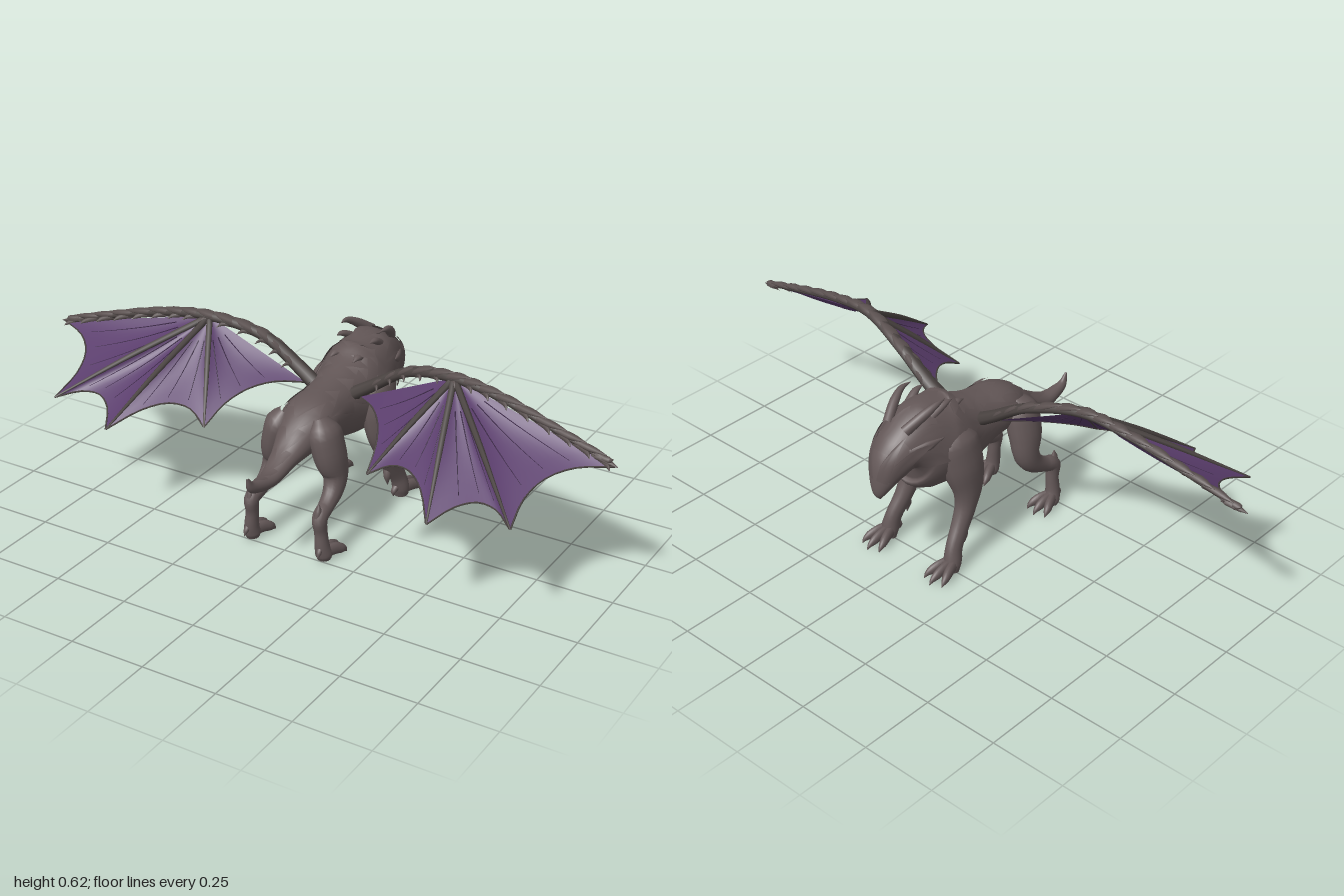
import * as THREE from 'three';

const V = (x, y, z) => new THREE.Vector3(x, y, z);
const mat = (name, color, side = THREE.FrontSide) => {
  const m = new THREE.MeshStandardMaterial({ color, side });
  m.name = name;
  return m;
};

// A smooth tapering limb through stations [x, y, z, halfWidth, halfHeight]
function limb(stations, ref) {
  const path = new THREE.CatmullRomCurve3(stations.map(p => V(p[0], p[1], p[2])));
  const size = new THREE.CatmullRomCurve3(stations.map(p => V(p[3], p[4] ?? p[3], 0)));
  return (t, angle, scale = 1) => {
    const T = path.getTangent(t);
    const side = ref.clone().addScaledVector(T, -ref.dot(T)).normalize();
    const up = T.clone().cross(side);
    const r = size.getPoint(t);
    return path.getPoint(t)
      .addScaledVector(side, Math.max(r.x, 0.001) * scale * Math.cos(angle))
      .addScaledVector(up, Math.max(r.y, 0.001) * scale * Math.sin(angle));
  };
}

// Grid surface from a function f(u, v); wrap closes it around v
function surface(f, nu, nv, wrap = false) {
  const pos = [], idx = [], cols = wrap ? nv : nv + 1;
  for (let i = 0; i <= nu; i++)
    for (let j = 0; j < cols; j++) pos.push(...f(i / nu, j / nv).toArray());
  for (let i = 0; i < nu; i++)
    for (let j = 0; j < nv; j++) {
      const k = (j + 1) % cols;
      const a = i * cols + j, b = i * cols + k, c = a + cols, d = b + cols;
      idx.push(a, b, c, b, d, c);
    }
  const g = new THREE.BufferGeometry();
  g.setAttribute('position', new THREE.Float32BufferAttribute(pos, 3));
  g.setIndex(idx);
  g.computeVertexNormals();
  return g;
}

export function createModel() {
  const model = new THREE.Group();
  model.name = 'wingedBeast';
  const hide = mat('hide', 0x655959);
  const plateHide = mat('plateHide', 0x625656, THREE.DoubleSide);
  const bone = mat('wingBone', 0x4b4442);
  const scaleMat = mat('wingScale', 0x5b5150);
  const skin = mat('wingMembrane', 0x5a3d6c, THREE.DoubleSide);
  const veinMat = mat('membraneVein', 0x3d2a49);
  const across = V(-1, 0, 0), fore = V(0, 0, 1);

  const add = (name, geometry, material, parent = model) => {
    const m = new THREE.Mesh(geometry, material);
    m.name = name;
    parent.add(m);
    return m;
  };
  const loft = (name, stations, material, parent, ref = across, n = 12, sides = 10) => {
    const f = limb(stations, ref);
    return add(name, surface((u, v) => f(u, v * Math.PI * 2), n, sides, true), material, parent);
  };

  // Body from tail tip to beak tip
  const spine = [
    [0, .35, .45, .003, .003], [0, .313, .43, .014, .017], [0, .298, .385, .022, .022],
    [0, .296, .33, .032, .026], [0, .325, .25, .045, .034], [0, .36, .17, .07, .06],
    [0, .39, .1, .092, .075], [0, .39, .02, .088, .09], [0, .385, -.06, .095, .115],
    [0, .39, -.14, .113, .137], [0, .41, -.21, .115, .152], [0, .44, -.28, .098, .126],
    [0, .437, -.34, .078, .078], [0, .4, -.385, .06, .06], [0, .36, -.413, .042, .034],
    [0, .325, -.425, .022, .018], [0, .303, -.422, .004, .003],
  ];
  const body = limb(spine, across);
  add('body', surface((u, v) => body(u, v * Math.PI * 2), 80, 28, true), hide);

  // Pointed armour plate that follows the body and lifts toward its rear tip
  const plate = (name, t, length, angle, spread, lift) =>
    add(name, surface((v, u) => {
      const a = u * 2 - 1;
      return body(Math.max(t - v * length * (1 - .65 * Math.abs(a)), .01),
        angle + a * spread * (1 - .25 * v), 1.005 + lift * v * (1 - .6 * a * a));
    }, 6, 10), plateHide);
  for (let i = 0; i < 13; i++) plate('backPlate', .15 + i * .053, .085, Math.PI / 2, .75, i < 4 ? .2 : .09);
  for (const s of [1, -1]) {
    for (let i = 0; i < 6; i++)
      plate('flankPlate', .4 + i * .07, .1, Math.PI / 2 + s * 1.05, .5, .05);
    plate('cheekPlate', .86, .16, Math.PI / 2 + s * 1.3, .55, .13);
    plate('browPlate', .87, .13, Math.PI / 2 + s * .6, .45, .12);
    plate('neckPlate', .77, .13, Math.PI / 2 + s * 1.7, .5, .08);
  }

  for (const s of [1, -1]) {
    const word = s > 0 ? 'left' : 'right';
    const M = list => list.map(([x, ...rest]) => [x * s, ...rest]);

    // Horns and neck spines
    const horns = new THREE.Group();
    horns.name = word + 'Horns';
    model.add(horns);
    loft('horn', M([[.035, .52, -.345, .016, .02], [.06, .562, -.29, .015, .015],
      [.072, .584, -.245, .009, .009], [.07, .588, -.208, .001, .001]]), hide, horns);
    loft('neckSpine', M([[.045, .53, -.25, .018, .015], [.058, .558, -.2, .012, .01],
      [.06, .564, -.165, .001, .001]]), hide, horns);
    loft('shoulderSpine', M([[.03, .5, -.17, .022, .018], [.04, .525, -.125, .014, .01],
      [.042, .521, -.093, .001, .001]]), hide, horns);
    loft('cheekSpine', M([[.055, .45, -.36, .012, .025], [.088, .47, -.3, .01, .018],
      [.106, .485, -.25, .001, .001]]), hide, horns);

    // Front leg, leaning forward
    const front = new THREE.Group();
    front.name = word + 'FrontLeg';
    model.add(front);
    loft('shoulderAndArm', M([[.07, .48, -.165, .02, .03], [.083, .42, -.17, .055, .078],
      [.1, .34, -.16, .052, .075], [.112, .265, -.155, .04, .058], [.118, .2, -.17, .032, .037],
      [.122, .14, -.2, .027, .032], [.13, .08, -.237, .024, .031], [.135, .035, -.25, .028, .03],
      [.135, .006, -.255, .024, .024]]), hide, front, across, 32, 16);
    loft('elbowSpike', M([[.118, .13, -.195, .016, .02], [.122, .1, -.182, .012, .014],
      [.124, .068, -.182, .001, .001]]), hide, front);
    loft('dewClaw', M([[.135, .05, -.235, .014, .014], [.13, .03, -.212, .009, .01],
      [.13, .012, -.212, .001, .001]]), hide, front);

    // Hind leg with a raised hock
    const hind = new THREE.Group();
    hind.name = word + 'HindLeg';
    model.add(hind);
    loft('thighAndShank', M([[.06, .43, .13, .02, .03], [.078, .38, .135, .05, .064],
      [.097, .31, .133, .047, .062], [.11, .245, .125, .038, .047], [.116, .2, .15, .031, .036],
      [.12, .168, .2, .025, .026], [.124, .15, .24, .024, .028], [.126, .1, .238, .02, .023],
      [.13, .05, .237, .023, .026], [.132, .022, .23, .027, .028], [.132, .005, .228, .022, .022]]),
      hide, hind, across, 36, 16);
    loft('hockSpike', M([[.122, .14, .25, .014, .02], [.124, .175, .248, .01, .013],
      [.125, .2, .246, .001, .001]]), hide, hind);
    loft('dewClaw', M([[.132, .055, .245, .012, .013], [.134, .038, .263, .008, .009],
      [.135, .022, .272, .001, .001]]), hide, hind);

    // Three clawed toes on each foot
    for (const [leg, x, z, reach] of [[front, .135, -.25, .105], [hind, .132, .225, .085]])
      for (const k of [-1, 0, 1]) {
        const far = reach * (1 - .15 * Math.abs(k)), dx = k * .016;
        loft('toe', M([[x + dx * .5, .03, z, .015, .024], [x + dx * 1.3, .03, z - far * .4, .014, .02],
          [x + dx * 1.9, .022, z - far * .7, .012, .016], [x + dx * 2.2, .014, z - far * .88, .007, .009],
          [x + dx * 2.3, .003, z - far, .001, .001]]), hide, leg);
      }

    // Wing: arm, leading edge and three fingers
    const wing = new THREE.Group();
    wing.name = word + 'Wing';
    model.add(wing);
    const wrist = [.44, .602, -.01];
    const edge = [[.04, .42, -.045, .028, .024], [.13, .478, -.055, .026, .02], [.26, .56, -.05, .022, .016],
      [...wrist, .02, .014], [.6, .585, .005, .016, .011], [.8, .535, .025, .012, .009], [.98, .482, .04, .005, .004]];
    loft('leadingEdge', M(edge), bone, wing, fore, 36, 8);
    const root = [.1, .44, -.04], tips = [[.293, .355, .25], [.57, .335, .39], [.81, .365, .34]];
    tips.forEach(tip => {
      const mid = tip.map((c, i) => (c + wrist[i]) / 2);
      loft('finger', M([[...wrist, .011], [mid[0], mid[1] + .006, mid[2], .009], [...tip, .003]]),
        bone, wing, V(0, 1, 0), 10, 6);
    });

    // Membrane panels fan out from the wrist to a scalloped rim
    const rims = [[root, [.235, .435, .085], tips[0]], [tips[0], [.43, .4, .24], tips[1]],
      [tips[1], [.675, .385, .28], tips[2]], [tips[2], [.825, .445, .15], [.99, .48, .045]]];
    rims.forEach(([a, m, b]) => {
      const A = V(...a), B = V(...b), W = V(...wrist);
      const C = V(...m).multiplyScalar(2).addScaledVector(A, -.5).addScaledVector(B, -.5);
      const rim = new THREE.QuadraticBezierCurve3(A, C, B);
      const at = (u, v) => {
        const p = W.clone().lerp(rim.getPoint(u), v);
        p.y -= .015 * Math.sin(u * Math.PI) * Math.sin(v * Math.PI);
        p.x *= s;
        return p;
      };
      add('membrane', surface(at, 16, 8), skin, wing);
      for (const u of [.3, .55, .78])
        loft('vein', [.25, .5, .75, .92].map((v, i) => [...at(u, v).toArray(), .0022 - i * .0005]),
          veinMat, wing, V(0, 1, 0), 6, 4);
      loft('rimCord', [0, .25, .5, .75, 1].map(u => [...at(u, 1).toArray(), .003]),
        bone, wing, V(0, 1, 0), 12, 4);
    });

    // Overlapping pointed scales along the leading edge
    const line = new THREE.CatmullRomCurve3(edge.map(p => V(p[0], p[1], p[2])));
    for (let i = 0; i < 14; i++) {
      const t = .16 + i * .06, w = .027 - i * .0011;
      const p = line.getPoint(t), q = line.getPoint(Math.min(t + .05, 1)), r = line.getPoint(Math.min(t + .1, 1));
      loft('wingScale', M([[p.x, p.y, p.z, w * .6, .008], [q.x, q.y + .008, q.z, w, .009],
        [r.x, r.y + .014, r.z - .006, .001, .001]]), scaleMat, wing, fore, 6, 8);
      loft('wingBarb', M([[p.x, p.y - .004, p.z, .012, .008], [q.x, q.y - .006, q.z + w * .8, .008, .006],
        [q.x + .012, q.y - .014, q.z + w * 1.7, .001, .001]]), scaleMat, wing, V(0, 1, 0), 5, 6);
    }
    loft('wingTip', M([[.93, .497, .036, .016, .01], [.965, .488, .04, .012, .008], [1, .48, .045, .001, .001]]),
      scaleMat, wing, fore, 6, 8);
  }
  return model;
}
